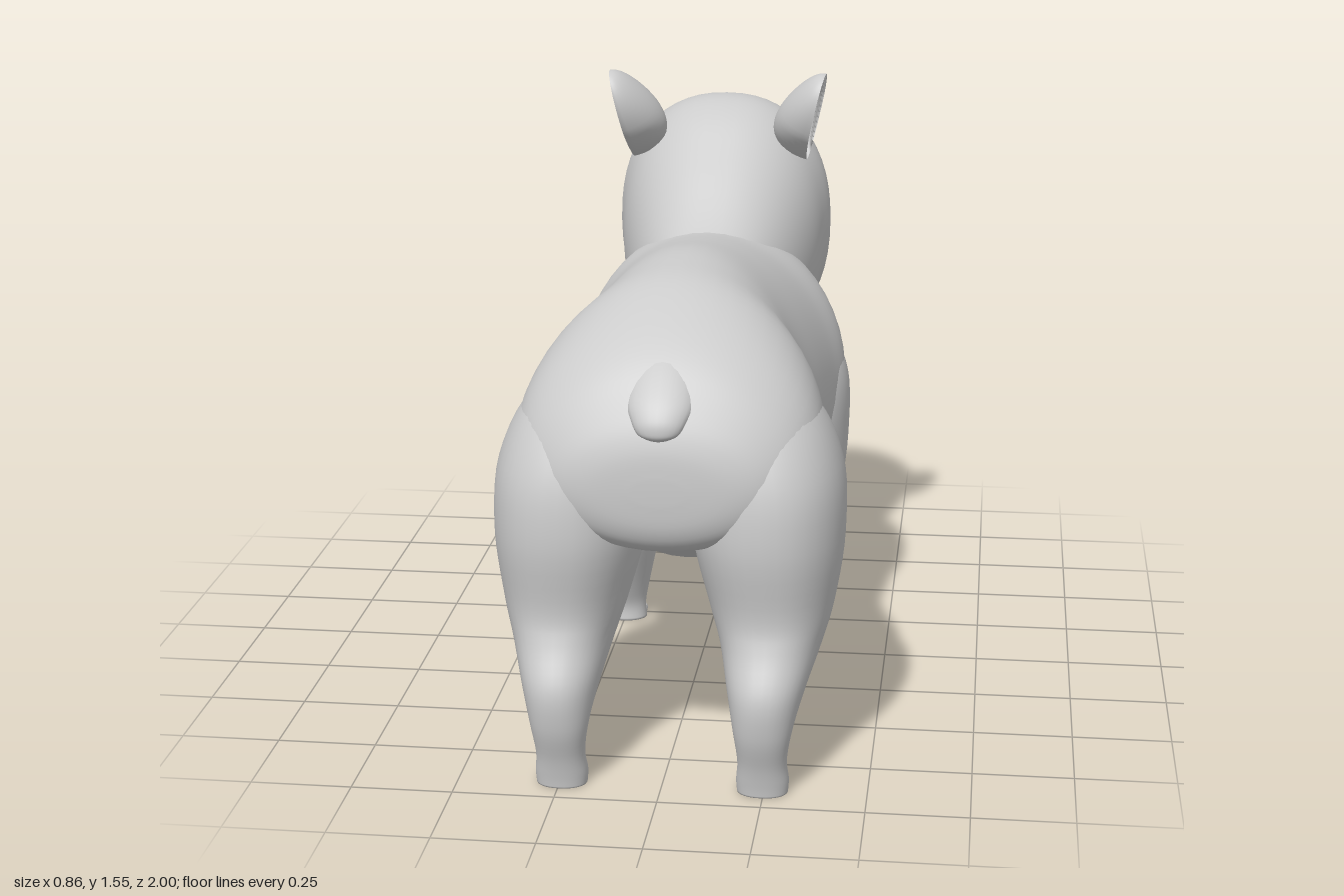
import * as THREE from 'three';

const material = new THREE.MeshStandardMaterial({ color: 0xcccccc, roughness: 0.8 });

// Catmull-Rom blend of whole section rows
function refine(rows, steps) {
  const out = [];
  const at = i => rows[Math.min(Math.max(i, 0), rows.length - 1)];
  for (let i = 0; i < rows.length - 1; i++) {
    for (let s = 0; s < steps; s++) {
      const t = s / steps, p = at(i - 1), q = at(i), r = at(i + 1), u = at(i + 2);
      out.push(q.map((v, k) => v + 0.5 * t * (r[k] - p[k] + t * (2 * p[k] - 5 * v + 4 * r[k] - u[k]
        + t * (3 * (v - r[k]) + u[k] - p[k])))));
    }
  }
  out.push(rows[rows.length - 1]);
  return out;
}

// Smooth skin over rounded sections. Row: [z1, y1, z2, y2, halfWidth, centreX]
// where (z1, y1) and (z2, y2) are the two ends of the section in the side profile.
// egg > 0 makes the first end broader; power below 1 makes the sections squarer.
function loft(name, rows, { side = 1, egg = 0, power = 1, sides = 36, steps = 5 } = {}) {
  const rings = refine(rows.map(r => [...r, 0].slice(0, 6)), steps);
  const pos = [], index = [];
  const shape = v => Math.sign(v) * Math.abs(v) ** power;
  for (const [z1, y1, z2, y2, w, cx] of rings) {
    for (let j = 0; j < sides; j++) {
      const a = j / sides * Math.PI * 2, c = shape(Math.cos(a)), s = shape(Math.sin(a));
      pos.push(side * cx + w * c * (1 + egg * s),
        (y1 + y2) / 2 + (y1 - y2) / 2 * s, (z1 + z2) / 2 + (z1 - z2) / 2 * s);
    }
  }
  const n = rings.length, first = n * sides, last = first + 1;
  for (const [z1, y1, z2, y2, , cx] of [rings[0], rings[n - 1]]) pos.push(side * cx, (y1 + y2) / 2, (z1 + z2) / 2);
  for (let j = 0; j < sides; j++) {
    const k = (j + 1) % sides, e = (n - 1) * sides;
    index.push(first, j, k, e + j, last, e + k);
    for (let i = 0; i < n - 1; i++) {
      const a = i * sides + j, b = i * sides + k;
      index.push(a, a + sides, b, b, a + sides, b + sides);
    }
  }
  const geo = new THREE.BufferGeometry();
  geo.setAttribute('position', new THREE.Float32BufferAttribute(pos, 3));
  geo.setIndex(index);
  geo.computeVertexNormals();
  return mesh(name, geo);
}

function mesh(name, geo) {
  const m = new THREE.Mesh(geo, material);
  m.name = name;
  return m;
}

function ball(name, x, y, z, sx, sy, sz) {
  const m = mesh(name, new THREE.SphereGeometry(1, 20, 14));
  m.position.set(x, y, z);
  m.scale.set(sx, sy, sz);
  return m;
}

// Row of small toes along the front of a foot
function toes(name, side, count, x, z) {
  const g = new THREE.Group();
  g.name = name;
  for (let i = 0; i < count; i++) {
    const t = i / (count - 1) * 2 - 1;
    g.add(ball('toe', side * x + t * 0.044, 0.016, z + 0.016 * t * t, 0.016, 0.016, 0.028));
  }
  return g;
}

// Hollow bowl-shaped ear, opening sideways, deepest near its base
function ear(side) {
  const geo = new THREE.SphereGeometry(1, 40, 28);
  const p = geo.attributes.position;
  for (let i = 0; i < p.count; i++) {
    const x = p.getX(i), y = p.getY(i), z = p.getZ(i);
    const taper = 1 - 0.25 * Math.max(0, -y), depth = 1 - 0.4 * y;
    p.setXYZ(i, x * 0.092 * taper, y * 0.144, depth * (z < 0 ? 0.105 * z : -0.088 * z));
  }
  geo.computeVertexNormals();
  const up = new THREE.Vector3(side * 0.05, 0.24, 0.15).normalize();
  const out = new THREE.Vector3(side, -0.15, 0.1);
  out.addScaledVector(up, -out.dot(up)).normalize();
  const across = new THREE.Vector3().crossVectors(up, out);
  geo.applyMatrix4(new THREE.Matrix4().makeBasis(across, up, out).setPosition(side * 0.268, 1.423, -0.357));
  return mesh('ear', geo);
}

// Eyeball with a raised lid ring
function eye(side) {
  const g = new THREE.Group();
  g.name = 'eye';
  const lid = mesh('eyelid', new THREE.TorusGeometry(0.042, 0.008, 10, 28));
  lid.scale.y = 0.88;
  g.add(lid, ball('eyeball', 0, 0, 0, 0.039, 0.034, 0.014));
  g.position.set(side * 0.244, 1.07, -0.724);
  g.lookAt(side * 1.244, 1.1, -1.25);
  return g;
}

export function createModel() {
  const model = new THREE.Group();
  model.name = 'animal';

  // Trunk from rump to chest
  model.add(loft('body', [
    [0.968, 0.8, 0.968, 0.74, 0.06], [0.96, 0.87, 0.96, 0.67, 0.18], [0.93, 0.945, 0.93, 0.62, 0.265],
    [0.86, 1.045, 0.86, 0.59, 0.335], [0.75, 1.125, 0.75, 0.57, 0.37], [0.6, 1.19, 0.6, 0.5, 0.365],
    [0.45, 1.21, 0.45, 0.43, 0.32], [0.3, 1.21, 0.3, 0.375, 0.305], [0.1, 1.18, 0.1, 0.34, 0.328],
    [-0.08, 1.155, -0.08, 0.335, 0.348], [-0.22, 1.15, -0.22, 0.36, 0.366], [-0.34, 1.12, -0.34, 0.4, 0.335],
    [-0.43, 1.02, -0.43, 0.47, 0.265], [-0.475, 0.9, -0.475, 0.58, 0.17], [-0.49, 0.78, -0.49, 0.68, 0.05],
  ], { egg: -0.04, sides: 48 }));

  // Neck, skull and drooping snout
  model.add(loft('head', [
    [0.12, 1.08, -0.2, 0.5, 0.14], [-0.09, 1.15, -0.38, 0.62, 0.215], [-0.28, 1.31, -0.48, 0.68, 0.265],
    [-0.42, 1.425, -0.52, 0.72, 0.285], [-0.55, 1.455, -0.57, 0.735, 0.298], [-0.69, 1.41, -0.65, 0.732, 0.268],
    [-0.815, 1.295, -0.72, 0.725, 0.215], [-0.893, 1.125, -0.79, 0.715, 0.165], [-0.948, 0.99, -0.87, 0.702, 0.118],
    [-0.985, 0.85, -0.93, 0.678, 0.083], [-0.998, 0.77, -0.957, 0.672, 0.06], [-1.0, 0.73, -0.972, 0.682, 0.04],
  ], { power: 0.88, sides: 56 }));

  // Chin tucked under the muzzle
  model.add(loft('chin', [
    [-0.55, 0.84, -0.55, 0.75, 0.07], [-0.63, 0.81, -0.63, 0.718, 0.105], [-0.71, 0.78, -0.71, 0.698, 0.105],
    [-0.79, 0.755, -0.79, 0.684, 0.088], [-0.845, 0.735, -0.845, 0.68, 0.066], [-0.88, 0.72, -0.88, 0.684, 0.04],
    [-0.89, 0.705, -0.89, 0.692, 0.015],
  ], { sides: 28 }));

  // Short tail growing out of the rump
  model.add(loft('tail', [
    [0.74, 1.04, 0.79, 1.09, 0.045], [0.81, 0.98, 0.868, 1.043, 0.075], [0.86, 0.94, 0.932, 0.988, 0.08],
    [0.895, 0.92, 0.964, 0.943, 0.065], [0.915, 0.903, 0.97, 0.912, 0.05], [0.925, 0.895, 0.963, 0.897, 0.03],
    [0.94, 0.89, 0.95, 0.89, 0.008],
  ], { sides: 24 }));

  for (const side of [1, -1]) {
    // Hind leg: haunch, hock, foot
    model.add(loft('hindLeg', [
      [0.62, 1.05, 0.76, 1.03, 0.04, 0.14], [0.53, 0.94, 0.87, 0.93, 0.14, 0.2],
      [0.46, 0.79, 0.945, 0.78, 0.182, 0.235], [0.472, 0.6, 0.963, 0.62, 0.186, 0.242],
      [0.53, 0.43, 0.94, 0.45, 0.153, 0.252], [0.62, 0.31, 0.955, 0.37, 0.122, 0.254],
      [0.73, 0.245, 1.0, 0.27, 0.095, 0.25], [0.845, 0.18, 0.995, 0.17, 0.073, 0.247],
      [0.87, 0.1, 0.967, 0.08, 0.06, 0.246], [0.85, 0.035, 0.955, 0.03, 0.064, 0.246],
      [0.85, 0, 0.95, 0, 0.062, 0.246],
    ], { side, power: 0.9 }));
    model.add(toes('hindToes', side, 3, 0.246, 0.86));

    // Front leg: shoulder, forearm, foot
    model.add(loft('frontLeg', [
      [-0.27, 0.97, -0.17, 0.97, 0.03, 0.19], [-0.35, 0.87, -0.08, 0.87, 0.105, 0.215],
      [-0.41, 0.74, -0.015, 0.74, 0.146, 0.229], [-0.425, 0.58, -0.005, 0.56, 0.146, 0.232],
      [-0.385, 0.42, -0.03, 0.4, 0.122, 0.24], [-0.34, 0.27, -0.08, 0.25, 0.098, 0.247],
      [-0.295, 0.12, -0.145, 0.11, 0.07, 0.25], [-0.268, 0.05, -0.172, 0.045, 0.058, 0.25],
      [-0.27, 0, -0.172, 0, 0.06, 0.25],
    ], { side }));
    model.add(toes('frontToes', side, 4, 0.25, -0.254));

    model.add(ear(side), eye(side));

    // Nostril ring on the snout tip
    const nostril = mesh('nostril', new THREE.TorusGeometry(0.013, 0.004, 8, 18));
    nostril.position.set(side * 0.03, 0.74, -0.987);
    nostril.rotation.y = -side * 0.5;
    model.add(nostril);
  }
  return model;
}
